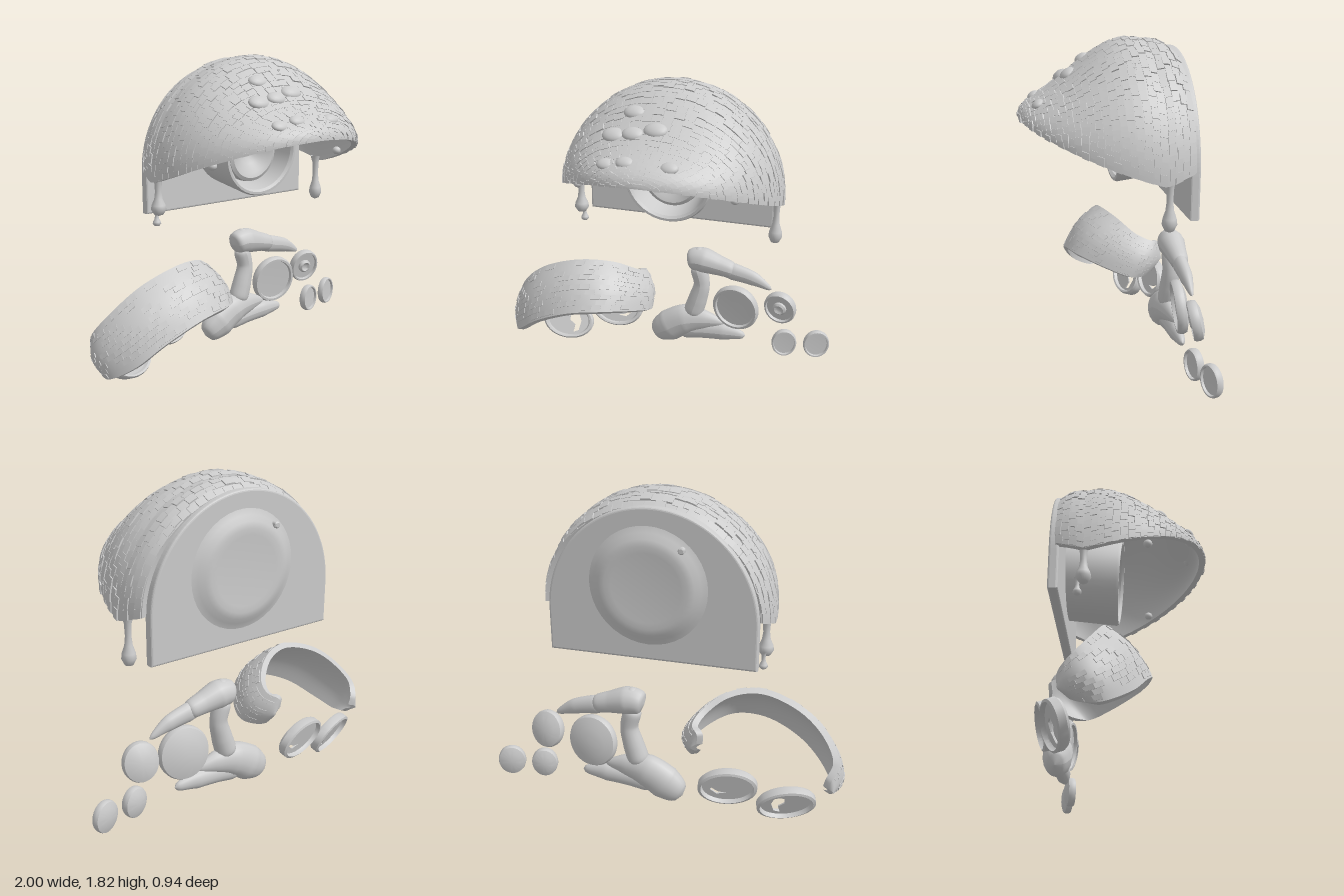
import * as THREE from 'three';
import { mergeGeometries, toCreasedNormals } from 'three/addons/utils/BufferGeometryUtils.js';

const mat = new THREE.MeshStandardMaterial({ color: 0xcccccc, side: THREE.DoubleSide });
const V = (x, y, z) => new THREE.Vector3(x, y, z);
const lerp = THREE.MathUtils.lerp;

let seed = 7;
const rand = () => (seed = (seed * 16807) % 2147483647) / 2147483647;

// Maps a box through surface fn(u, v, k): a curved slab with crisp edges
function patch(fn, u0, u1, v0, v1, k0, k1, nu = 1, nv = 1) {
  const g = new THREE.BoxGeometry(1, 1, 1, nu, nv, 1), p = g.attributes.position;
  for (let i = 0; i < p.count; i++) {
    const q = fn(lerp(u0, u1, p.getX(i) + 0.5), lerp(v0, v1, p.getY(i) + 0.5), lerp(k0, k1, p.getZ(i) + 0.5));
    p.setXYZ(i, q.x, q.y, q.z);
  }
  g.computeVertexNormals();
  return g;
}

// Hood surface: a = angle over the arch, phi = back to front, k = scale outward
function hood(a, phi, k) {
  const s = Math.sin(phi), c = Math.max(0, Math.cos(phi)), z = -0.2 + 0.66 * s;
  const rim = z > -0.22 ? 1.14 + 0.25 * Math.pow((z + 0.22) / 0.68, 1.15) : 1.14 + 0.35 * (-0.22 - z);
  const h = 0.658 * c * (1 - 1.58 * s * s + 0.975 * s * s * s);
  const w = 0.635 * c * (s < 0 ? 1 - 0.5 * s * s : 1);
  return V(0.06 + w * k * Math.cos(a), rim + h * k * Math.sin(a), -0.2 + 0.66 * s * k);
}

// Visor strap: a strip between a lower and an upper edge curve
const lower = new THREE.CatmullRomCurve3([V(-0.92, 0.145, -0.24), V(-0.96, 0.135, -0.1), V(-0.87, 0.22, 0.04), V(-0.72, 0.335, 0.11),
  V(-0.5, 0.43, 0.135), V(-0.3, 0.45, 0.09), V(-0.14, 0.405, -0.07), V(-0.085, 0.355, -0.22), V(-0.17, 0.33, -0.36)]);
const upper = new THREE.CatmullRomCurve3([V(-0.93, 0.28, -0.32), V(-0.97, 0.36, -0.23), V(-0.9, 0.48, -0.15), V(-0.74, 0.61, -0.1),
  V(-0.5, 0.69, -0.09), V(-0.31, 0.67, -0.16), V(-0.19, 0.59, -0.27), V(-0.17, 0.55, -0.37), V(-0.23, 0.54, -0.44)]);
function strap(u, v, k) {
  const end = 0.25 + 0.75 * Math.sqrt(Math.max(0, 1 - Math.pow(Math.abs(2 * u - 1), 16)));
  const l = lower.getPoint(u), w = upper.getPoint(u).sub(l);
  const n = lower.getTangent(u).cross(w).normalize();
  return l.addScaledVector(w, 0.5 + (v - 0.5) * end).addScaledVector(n, k + 0.03 * Math.sin(Math.PI * v));
}

// Lathe turned so that its axis points along z (dir = 1 front, -1 back)
function turned(profile, dir = 1, sides = 40, rx = 1, ry = 1) {
  const g = new THREE.LatheGeometry(profile.map(([r, h]) => new THREE.Vector2(r, h)), sides);
  return toCreasedNormals(g.rotateX(dir * Math.PI / 2).scale(rx, ry, 1), 0.6);
}

// Tapered limb: tube whose radius follows a list, flattened in depth
function limb(points, radii, depth = 0.75) {
  const curve = new THREE.CatmullRomCurve3(points.map(([x, y]) => V(x, y, -0.38)));
  const rows = 32, sides = 16, g = new THREE.TubeGeometry(curve, rows, 1, sides), p = g.attributes.position;
  for (let i = 0; i < p.count; i++) {
    const t = Math.floor(i / (sides + 1)) / rows, c = curve.getPointAt(t);
    const f = t * (radii.length - 1), j = Math.min(Math.floor(f), radii.length - 2);
    const r = lerp(radii[j], radii[j + 1], f - j) * Math.sqrt(Math.max(0, 1 - Math.pow(Math.abs(2 * t - 1), 12)));
    p.setXYZ(i, c.x + (p.getX(i) - c.x) * r, c.y + (p.getY(i) - c.y) * r, c.z + (p.getZ(i) - c.z) * r * depth);
  }
  g.computeVertexNormals();
  return g;
}

export function createModel() {
  const root = new THREE.Group();
  const add = (name, geo, x = 0, y = 0, z = 0, parent = root) => {
    const m = new THREE.Mesh(geo, mat);
    m.name = name;
    m.position.set(x, y, z);
    parent.add(m);
    return m;
  };

  // Hood shell with staggered shingles
  const back = -0.27, front = Math.PI / 2;
  add('hoodShell', patch(hood, 0, Math.PI, back, front, 0.95, 1, 64, 40));
  const tiles = [], rows = 30;
  for (let r = 0; r < rows; r++) {
    const p0 = lerp(back, front - 0.06, r / rows), p1 = lerp(back, front - 0.06, (r + 0.97) / rows);
    const n = Math.max(4, Math.round(34 * Math.cos(p0)));
    for (let i = 0; i < n; i++) {
      const a0 = (i + (r % 2) * 0.5) / n, a1 = Math.min(1, a0 + (0.9 + 0.1 * rand()) / n);
      const shift = (rand() - 0.5) * 0.025;
      if (a0 < 0.99) tiles.push(patch(hood, a0 * Math.PI, a1 * Math.PI, Math.max(back, p0 + shift), p1 + shift, 0.99, 1.003 + 0.012 * rand(), 2, 1));
    }
  }
  add('hoodShingles', mergeGeometries(tiles));

  // Moss lumps on the hood, placed by x and z
  for (const [x, z, r] of [[-0.08, 0.09, 0.055], [-0.16, 0.2, 0.06], [-0.05, 0.21, 0.055], [0.07, 0.19, 0.06],
    [-0.15, 0.36, 0.045], [-0.04, 0.37, 0.045], [0.2, 0.37, 0.045]]) {
    const phi = Math.asin((z + 0.2) / 0.66), a = Math.acos((x - 0.06) / (0.635 * Math.cos(phi)));
    const q = hood(a, phi, 0.995);
    const m = add('mossLump', new THREE.SphereGeometry(r, 16, 10), q.x, q.y, q.z);
    m.scale.set(1.1, 0.5, 0.8);
    m.rotation.x = 0.6;
  }

  // Arched back plate with a shallow boss and a peg behind it
  const arch = new THREE.Shape();
  arch.moveTo(-0.515, 0.945);
  arch.lineTo(0.61, 0.945);
  arch.lineTo(0.61, 1.17);
  arch.absellipse(0.0475, 1.17, 0.5625, 0.58, 0, Math.PI, false);
  const plate = new THREE.ExtrudeGeometry(arch, { depth: 0.032, bevelSize: 0.012, bevelThickness: 0.012, bevelSegments: 3, curveSegments: 40 });
  add('backPlate', plate, 0, 0, -0.398);
  add('backBoss', turned([[0.325, 0], [0.29, 0.012], [0.26, 0.032], [0.225, 0.039], [0.19, 0.036], [0, 0.03]], -1), 0.06, 1.345, -0.409);
  add('backPeg', turned([[0.018, 0], [0.018, 0.025], [0.012, 0.03], [0, 0.03]], -1, 16), -0.13, 1.56, -0.42);

  // Round lamp housing under the hood, flared and tipped slightly downward
  const lamp = new THREE.Group();
  lamp.name = 'lamp';
  lamp.position.set(0.06, 1.295, -0.365);
  lamp.rotation.x = 0.07;
  add('lampHousing', turned([[0.24, -0.01], [0.258, 0.31], [0.25, 0.325], [0.236, 0.325], [0.224, 0.31], [0.21, 0.08], [0.165, 0.08]]), 0, 0, 0, lamp);
  add('lampLens', turned([[0.165, 0], [0.172, 0.12], [0.165, 0.155], [0.145, 0.165], [0.12, 0.155], [0.07, 0.12], [0.03, 0.095], [0, 0.09]]), 0, -0.025, 0.08, lamp);
  root.add(lamp);

  // Drips hanging from the rim
  const drip = (x, y, z, len, r) => add('drip', new THREE.LatheGeometry([[0, 0], [0.6, 0.04], [1, 0.16], [0.9, 0.27], [0.55, 0.42],
    [0.42, 0.6], [0.5, 0.85], [0.8, 1]].map(([a, b]) => new THREE.Vector2(a * r, b * len)), 20), x, y, z);
  drip(0.655, 0.89, -0.24, 0.28, 0.04);
  drip(-0.535, 0.95, -0.22, 0.23, 0.043);
  drip(-0.53, 0.885, -0.25, 0.1, 0.024);
  for (const x of [-0.41, 0.49]) {
    const nub = add('rimNub', new THREE.SphereGeometry(0.025, 14, 10), x, 1.26, 0.12);
    nub.scale.y = 0.9;
  }

  // Visor strap with sparse scales
  add('visorStrap', patch(strap, 0, 1, 0, 1, -0.035, 0, 64, 10));
  const scales = [];
  for (let r = 0; r < 10; r++) for (let i = 0; i < 26; i++) {
    const u = 0.04 + (i + r * 0.35 % 1) * 0.034, v = 0.03 + r * 0.094;
    if (rand() > 0.5) scales.push(patch(strap, u, u + 0.033, v, v + 0.09, -0.01, 0.002 + 0.004 * rand()));
  }
  add('visorScales', mergeGeometries(scales));

  // Goggle rings with cracked panes
  const outline = pts => new THREE.Path().setFromPoints(pts.map(([x, y]) => new THREE.Vector2(x, y)));
  const crack = outline([[0.03, 0.35], [0.2, 0.45], [0.38, 0.4], [0.5, 0.05], [0.45, -0.5], [0.25, -0.65], [0.28, -0.2], [0.05, 0]]);
  const sliver = outline([[0.05, -0.42], [0.35, -0.3], [0.55, -0.05], [0.6, -0.15], [0.4, -0.45]]);
  for (const [x, y, z, tilt, turn, hole] of [[-0.7, 0.122, -0.32, -0.4, 0.28, crack], [-0.385, 0.225, -0.405, -0.25, 0.18, sliver]]) {
    const goggle = new THREE.Group();
    goggle.name = 'goggle';
    goggle.position.set(x, y, z);
    goggle.rotation.set(tilt, turn, -0.05);
    const rim = [[0.9, -0.032], [1, -0.026], [1, 0.014], [0.93, 0.028], [0.84, 0.025], [0.8, 0.005], [0.88, -0.01], [0.9, -0.032]];
    add('goggleRim', turned(rim, 1, 40, 0.165, 0.118), 0, 0, 0, goggle);
    const pane = new THREE.Shape().absarc(0, 0, 0.86, 0, Math.PI * 2);
    pane.holes.push(hole);
    const glass = new THREE.ExtrudeGeometry(pane, { depth: 0.008, bevelEnabled: false, curveSegments: 24 });
    add('gogglePane', glass.scale(0.165, 0.118, 1), 0, 0, -0.006, goggle);
    root.add(goggle);
  }

  // Jointed arms
  add('upperSleeve', limb([[0.1, 0.645], [0.17, 0.66], [0.3, 0.635], [0.4, 0.61]], [0.07, 0.08, 0.062, 0.05], 0.95));
  add('upperTip', limb([[0.26, 0.625], [0.4, 0.605], [0.52, 0.575], [0.63, 0.52]], [0.035, 0.055, 0.045, 0.014]));
  add('elbowCap', new THREE.SphereGeometry(0.04, 16, 12), 0.17, 0.7, -0.38);
  add('armLink', limb([[0.16, 0.62], [0.19, 0.5], [0.17, 0.4], [0.13, 0.27]], [0.055, 0.05, 0.06, 0.065], 0.95));
  add('lowerSleeve', limb([[-0.12, 0.1], [-0.03, 0.16], [0.08, 0.225], [0.2, 0.245], [0.34, 0.24]], [0.07, 0.105, 0.1, 0.065, 0.02]));
  add('lowerTip', limb([[0.05, 0.15], [0.2, 0.17], [0.36, 0.18], [0.48, 0.175]], [0.06, 0.055, 0.055, 0.025]));

  // Shallow dished discs with raised rims and domed backs
  const disc = (name, x, y, z, rx, ry, d, tilt, turn) => {
    const profile = [[0, -d], [0.6, -0.85 * d], [0.95, -0.4 * d], [1, 0], [1, 0.6 * d], [0.94, d], [0.85, d], [0.82, 0.5 * d], [0, 0.4 * d]];
    const m = add(name, turned(profile, 1, 40, rx, ry), x, y, z);
    m.rotation.set(tilt, turn, 0);
    return m;
  };
  disc('largeDisc', 0.415, 0.37, -0.38, 0.147, 0.152, 0.038, 0.12, -0.12);
  const hub = disc('hubDisc', 0.69, 0.41, -0.39, 0.1, 0.11, 0.035, 0.22, -0.15);
  add('hubKnob', turned([[0.042, 0], [0.042, 0.02], [0.03, 0.03], [0.018, 0.02], [0, 0.018]], 1, 24), 0, 0, 0.01, hub);
  disc('smallDisc', 0.725, 0.175, -0.38, 0.076, 0.088, 0.03, 0, 0.25);
  disc('smallDisc', 0.918, 0.18, -0.415, 0.08, 0.09, 0.027, 0, 0.32);
  return root;
}
